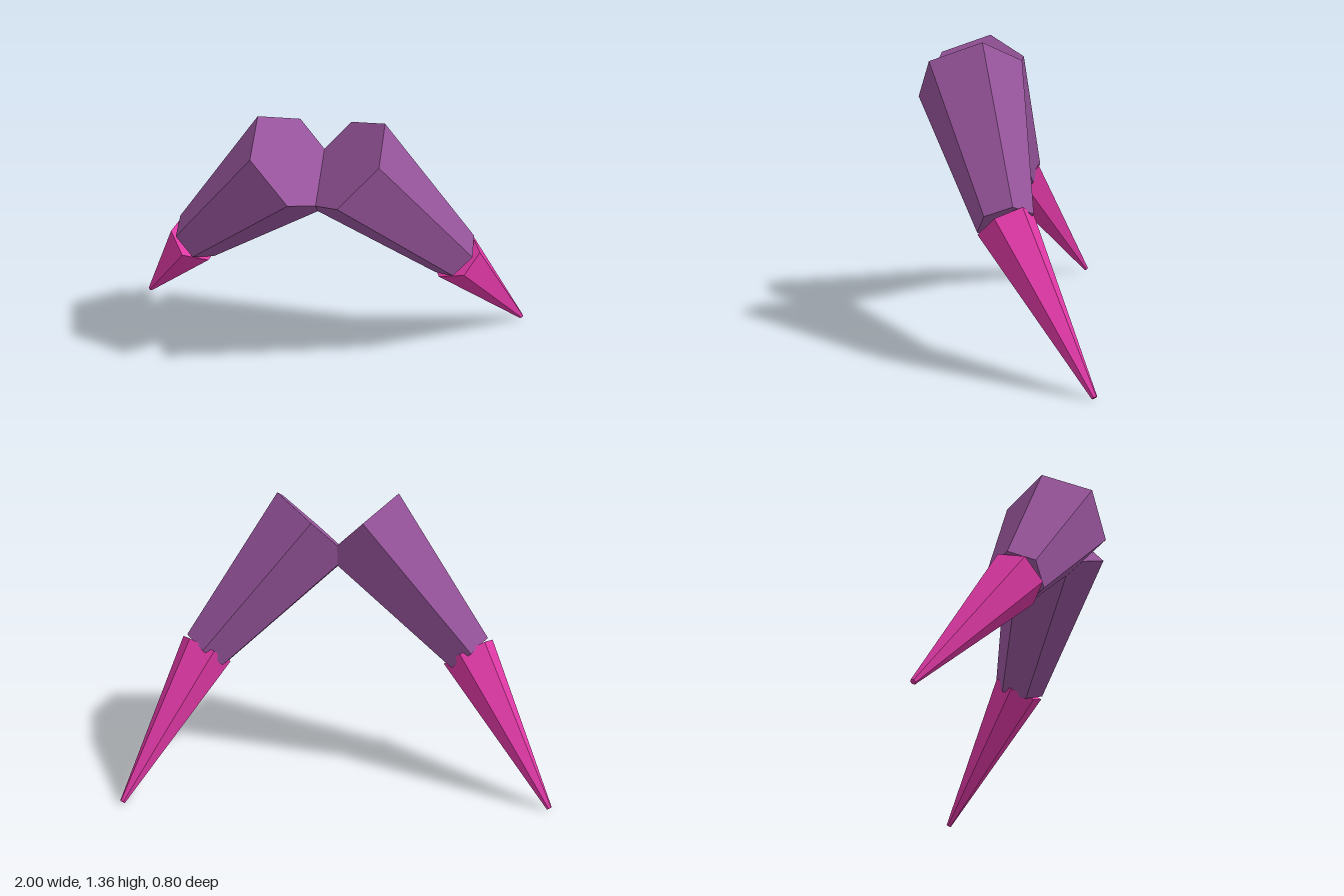
import * as THREE from 'three';

const SIDES = 6;

// Tapered six-sided prism from start to end; one corner points along cornerDir.
function taperedSegment(name, start, end, startRadius, endRadius, cornerDir, material) {
  const axis = end.clone().sub(start);
  const length = axis.length();
  const y = axis.normalize();
  const z = cornerDir.clone().addScaledVector(y, -cornerDir.dot(y)).normalize();
  const x = new THREE.Vector3().crossVectors(y, z);

  const geometry = new THREE.CylinderGeometry(endRadius, startRadius, length, SIDES).toNonIndexed();
  geometry.computeVertexNormals(); // flat facets
  const mid = start.clone().lerp(end, 0.5);
  geometry.applyMatrix4(new THREE.Matrix4().makeBasis(x, y, z).setPosition(mid));

  const mesh = new THREE.Mesh(geometry, material);
  mesh.name = name;
  return mesh;
}

export function createModel() {
  const purple = new THREE.MeshStandardMaterial({ color: 0x96549a });
  purple.name = 'purple';
  const pink = new THREE.MeshStandardMaterial({ color: 0xe039a6 });
  pink.name = 'pink';

  const model = new THREE.Group();
  model.name = 'jointedFangs';

  for (const [side, s] of [['left', 1], ['right', -1]]) {
    const point = (x, y, z) => new THREE.Vector3(s * x, y, z);
    const root = point(0.11, 1.185, 0.168);
    const joint = point(0.615, 0.628, -0.018);
    const tip = point(0.988, 0.009, -0.39);

    const limb = new THREE.Group();
    limb.name = side + 'Limb';
    limb.add(
      // Thick base segment, half as wide at the joint
      taperedSegment('upperSegment', root, joint, 0.25, 0.126, point(0.165, 0.175, -0.068), purple),
      // Spike narrowing to a tiny blunt tip
      taperedSegment('spike', joint, tip, 0.13, 0.0125, point(0.12, 0.047, 0.041), pink),
    );
    model.add(limb);
  }
  return model;
}
